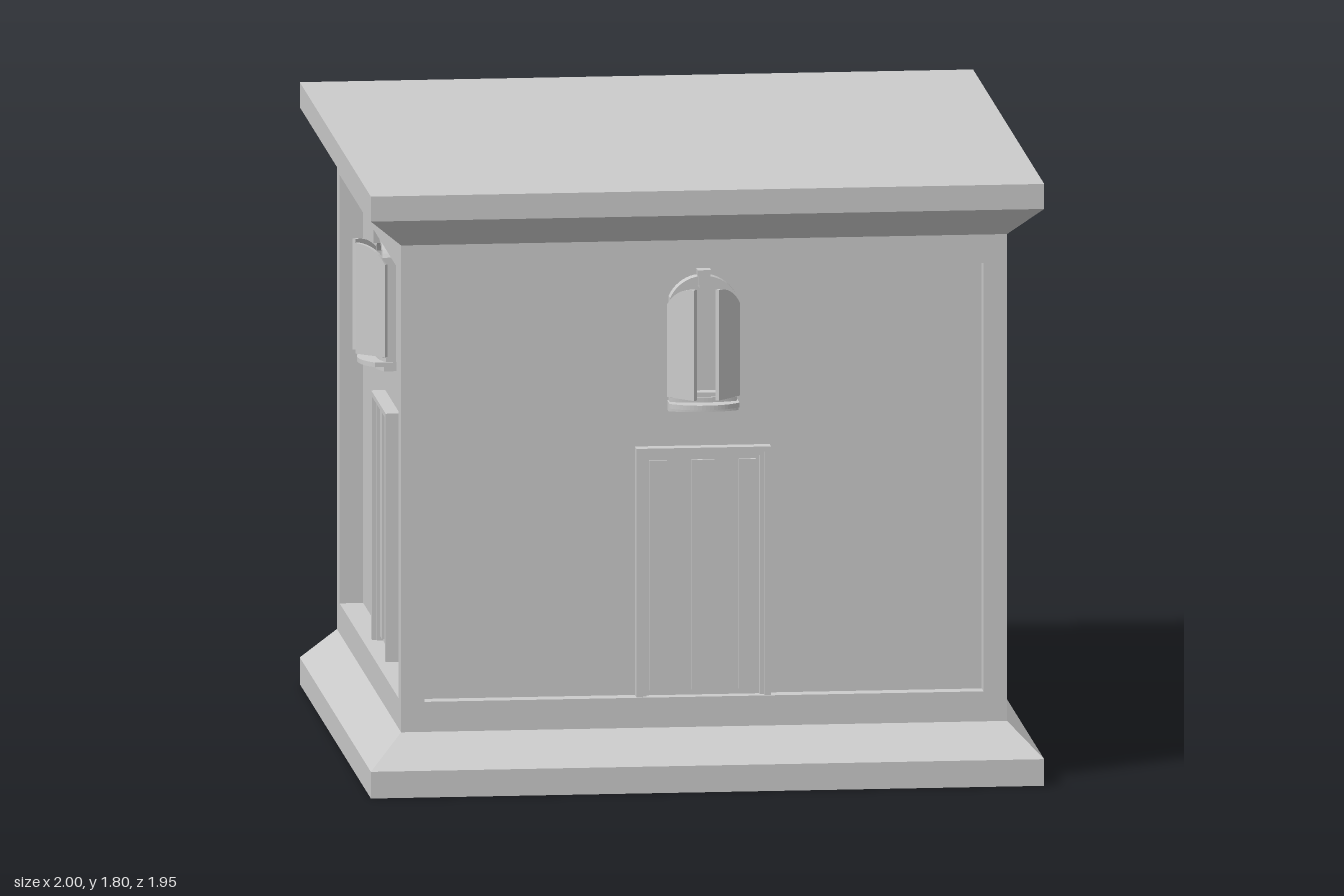
import * as THREE from 'three';

const stone = new THREE.MeshStandardMaterial({ color: 0xcccccc, flatShading: true });

function add(parent, name, geometry, x = 0, y = 0, z = 0) {
  const mesh = new THREE.Mesh(geometry, stone);
  mesh.name = name;
  mesh.position.set(x, y, z);
  parent.add(mesh);
  return mesh;
}

// Box from y0 to y1 whose bottom and top may differ in half width and half depth
function block(parent, name, y0, y1, bottom, top = bottom) {
  const g = new THREE.BoxGeometry(2, y1 - y0, 2);
  const p = g.attributes.position;
  for (let i = 0; i < p.count; i++) {
    const [hx, hz] = p.getY(i) > 0 ? top : bottom;
    p.setX(i, p.getX(i) * hx);
    p.setZ(i, p.getZ(i) * hz);
  }
  g.computeVertexNormals();
  return add(parent, name, g, 0, (y0 + y1) / 2, 0);
}

function rect(target, hw, y0, y1) {
  target.moveTo(-hw, y0);
  target.lineTo(hw, y0);
  target.lineTo(hw, y1);
  target.lineTo(-hw, y1);
  target.closePath();
  return target;
}

// Upright opening with a segmental arch on top
function arch(target, hw, y0, spring, top) {
  const rise = top - spring;
  const r = (hw * hw + rise * rise) / (2 * rise);
  const a = Math.asin(Math.min(1, hw / r));
  target.moveTo(-hw, y0);
  target.lineTo(hw, y0);
  target.lineTo(hw, spring);
  target.absarc(0, top - r, r, Math.PI / 2 - a, Math.PI / 2 + a, false);
  target.closePath();
  return target;
}

function extrude(shape, depth) {
  return new THREE.ExtrudeGeometry(shape, { depth, bevelEnabled: false, curveSegments: 10 });
}

function ring(outer, inner, depth) {
  outer.holes.push(inner);
  return extrude(outer, depth);
}

function makeDoor() {
  const door = new THREE.Group();
  door.name = 'door';
  // Stepped surround, open at the foot
  [[0.2, 1.015, 0.18, 1.0, 0.042], [0.18, 1.0, 0.168, 0.988, 0.028]].forEach(([w, h, iw, ih, d]) => {
    const s = new THREE.Shape();
    [[-w, 0.27], [-iw, 0.27], [-iw, ih], [iw, ih], [iw, 0.27], [w, 0.27], [w, h], [-w, h]]
      .forEach(([x, y], i) => (i ? s.lineTo(x, y) : s.moveTo(x, y)));
    add(door, 'doorFrame', extrude(s, d));
  });
  add(door, 'doorLeaf', extrude(rect(new THREE.Shape(), 0.168, 0.27, 0.988), 0.01));
  for (const x of [-0.133, 0, 0.133]) {
    const hw = x === 0 ? 0.034 : 0.026;
    add(door, 'doorPlank', extrude(rect(new THREE.Shape(), hw, 0.285, 0.975), 0.02), x);
  }
  return door;
}

function makeWindow() {
  const win = new THREE.Group();
  win.name = 'window';
  add(win, 'windowFrame', ring(
    arch(new THREE.Shape(), 0.1, 1.165, 1.465, 1.53),
    arch(new THREE.Path(), 0.078, 1.18, 1.455, 1.505), 0.04));

  // Keystone, wider at the top
  const key = new THREE.Shape();
  key.moveTo(-0.014, 1.495);
  key.lineTo(0.014, 1.495);
  key.lineTo(0.02, 1.55);
  key.lineTo(-0.02, 1.55);
  add(win, 'keystone', extrude(key, 0.058));

  // Two-step sill with a chamfered bulging front
  [[0.104, 0.105, 1.138, 1.152], [0.104, 0.06, 1.125, 1.138], [0.1, 0.05, 1.152, 1.167]]
    .forEach(([w, d, y0, y1]) => {
      const s = new THREE.Shape();
      s.moveTo(-w, 0);
      s.lineTo(w, 0);
      s.lineTo(w, -d * 0.6);
      s.quadraticCurveTo(w * 0.6, -d, 0, -d);
      s.quadraticCurveTo(-w * 0.6, -d, -w, -d * 0.6);
      s.closePath();
      add(win, 'windowSill', extrude(s, y1 - y0), 0, y0).rotation.x = -Math.PI / 2;
    });

  // Half-open shutters, each with half of the arch on top
  for (const side of [-1, 1]) {
    const s = new THREE.Shape();
    s.moveTo(0, 1.168);
    s.lineTo(0.108, 1.168);
    s.lineTo(0.108, 1.5);
    s.quadraticCurveTo(0.04, 1.5, 0, 1.445);
    s.closePath();
    const hinge = new THREE.Group();
    hinge.name = side < 0 ? 'rightShutter' : 'leftShutter';
    hinge.position.set(side * 0.1, 0, 0.026);
    hinge.scale.x = -side;
    add(hinge, 'shutterLeaf', extrude(s, 0.012)).rotation.y = -0.84;
    win.add(hinge);
  }
  return win;
}

export function createModel() {
  const model = new THREE.Group();
  model.name = 'building';

  // Plinth, core and cornice
  block(model, 'plinth', 0, 0.08, [1, 0.975]);
  block(model, 'plinthSlope', 0.08, 0.18, [1, 0.975], [0.9, 0.88]);
  block(model, 'wallCore', 0.18, 1.64, [0.83, 0.83]);
  block(model, 'corniceSlope', 1.64, 1.73, [0.9, 0.88], [1, 0.975]);
  block(model, 'roofSlab', 1.73, 1.805, [1, 0.975]);

  // Four walls: raised border around a sunken panel, a door and a window
  ['front', 'left', 'back', 'right'].forEach((name, i) => {
    const wall = new THREE.Group();
    wall.name = name + 'Wall';
    const flank = i % 2 === 1;
    const [outer, inner, depth] = flank ? [0.83, 0.805, 0.07] : [0.9, 0.83, 0.05];
    const border = ring(rect(new THREE.Shape(), outer, 0.18, 1.64),
      rect(new THREE.Path(), inner, 0.27, 1.555), depth);
    add(wall, 'wallBorder', border, 0, 0, 0.83);
    for (const part of [makeDoor(), makeWindow()]) {
      part.position.z = 0.83;
      wall.add(part);
    }
    wall.rotation.y = i * Math.PI / 2;
    model.add(wall);
  });
  return model;
}
